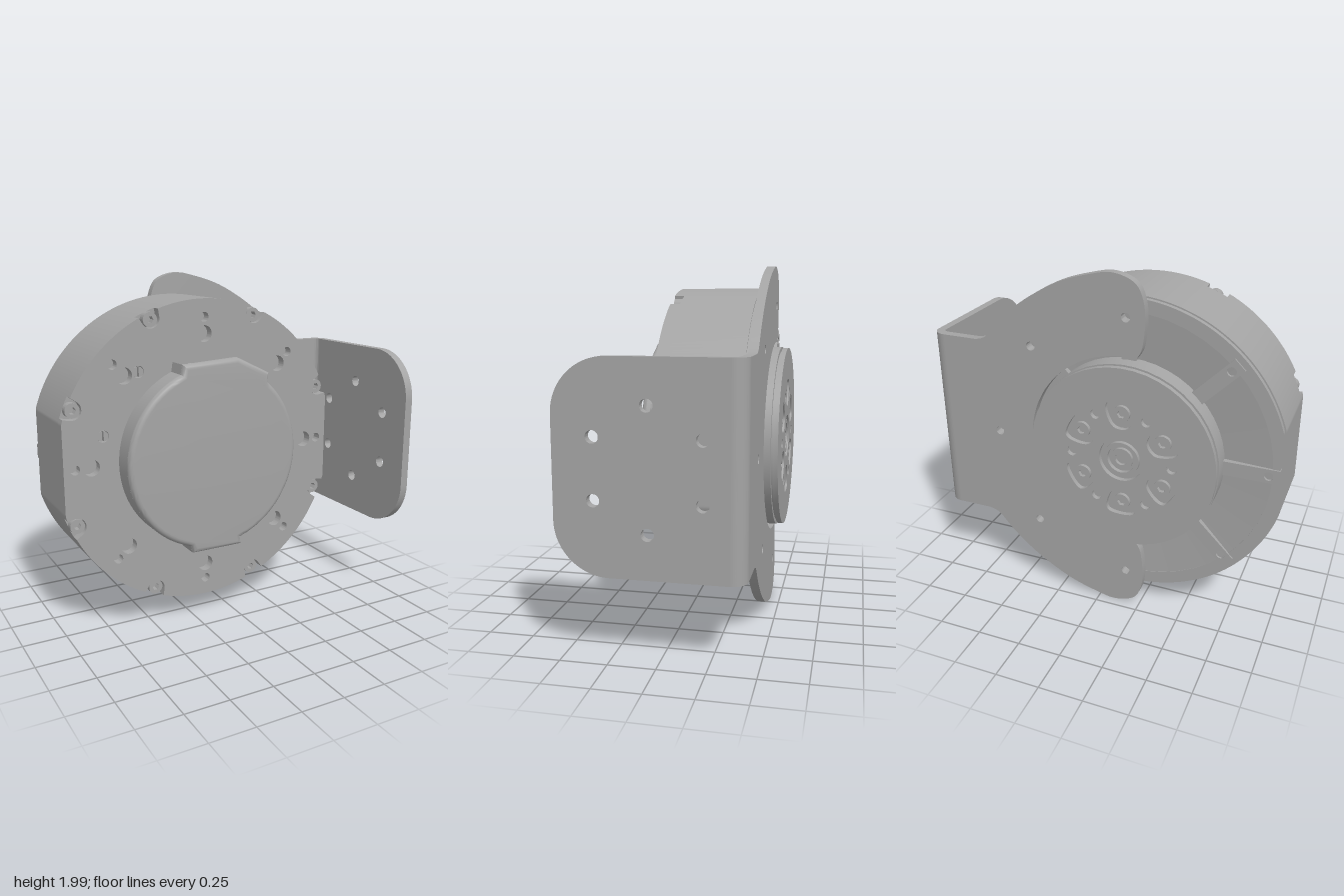
import * as THREE from 'three';
import { toCreasedNormals } from 'three/addons/utils/BufferGeometryUtils.js';

const V = (x, y) => new THREE.Vector2(x, y);
const polar = (r, deg) => V(r * Math.cos(deg * Math.PI / 180), r * Math.sin(deg * Math.PI / 180));
const eighths = [0, 45, 90, 135, 180, 225, 270, 315];
const sixths = [0, 60, 120, 180, 240, 300];

function circle(x, y, r, Type = THREE.Path) {
  const p = new Type();
  p.absarc(x, y, r, 0, Math.PI * 2, false);
  return p;
}
const disc = (r, x = 0, y = 0) => circle(x, y, r, THREE.Shape);
function ring(r, hole, x = 0, y = 0) {
  const s = disc(r, x, y);
  s.holes.push(circle(x, y, hole));
  return s;
}
function arc(r, from, to, n = 48) {
  return Array.from({ length: n + 1 }, (_, i) => polar(r, from + (to - from) * i / n));
}

// Round motor outline with flattened sides and optional screw notches
function bodyOutline(radius, notch = 0) {
  const pts = [];
  for (let i = 0; i < 720; i++) {
    const a = i * Math.PI / 360;
    let r = Math.min(radius, (radius - 0.037) / Math.abs(Math.cos(a)));
    const d = ((i / 2) % 45 - 22.5) * Math.PI / 180;
    const s = 0.838 * Math.sin(d);
    if (Math.abs(s) < notch) r = Math.min(r, 0.838 * Math.cos(d) - Math.sqrt(notch * notch - s * s));
    pts.push(V(r * Math.cos(a), r * Math.sin(a)));
  }
  return new THREE.Shape(pts);
}

export function createModel() {
  const model = new THREE.Group();
  model.name = 'motorOnBracket';
  const grey = new THREE.MeshStandardMaterial({ color: 0xa4a4a4, side: THREE.DoubleSide });
  grey.name = 'metalGrey';

  const motor = new THREE.Group();
  motor.name = 'motor';
  motor.position.set(-0.167, 0.995, 0);
  model.add(motor);

  function add(name, geometry, parent = motor) {
    const m = new THREE.Mesh(geometry, grey);
    m.name = name;
    parent.add(m);
    return m;
  }
  function slab(name, shape, z0, z1, parent = motor) {
    const g = new THREE.ExtrudeGeometry(shape, { depth: z1 - z0, bevelEnabled: false, curveSegments: 24 });
    g.translate(0, 0, z0);
    return add(name, toCreasedNormals(g, 0.6), parent);
  }

  // Housing
  slab('housing', bodyOutline(0.87), -0.365, 0.05);
  const face = bodyOutline(0.87, 0.053);
  const slotScrews = [V(-0.398, 0.495), V(-0.608, 0.165)];
  for (const a of eighths) {
    const big = polar(0.678, a), small = polar(0.77, a);
    face.holes.push(circle(big.x, big.y, 0.046), circle(small.x, small.y, 0.027));
  }
  for (const p of slotScrews) face.holes.push(circle(p.x, p.y, 0.033));
  slab('frontFace', face, 0.05, 0.105);

  // Hex socket screws around the front edge
  const hexScrew = (name, p, r, z0, z1) => {
    const s = disc(r, p.x, p.y);
    s.holes.push(new THREE.Path(sixths.map(a => polar(r * 0.5, a).add(p))));
    slab(name, s, z0, z1);
  };
  for (const a of eighths) hexScrew('rimScrew', polar(0.83, a + 22.5), 0.041, 0.05, 0.092);

  // Slotted screws, each made of two half discs
  for (const p of slotScrews) {
    for (const side of [0, Math.PI]) {
      const half = new THREE.Shape();
      half.absarc(p.x + (side ? -0.005 : 0.005), p.y, 0.027, side - Math.PI / 2, side + Math.PI / 2, false);
      slab('slottedScrew', half, 0.05, 0.101);
    }
  }

  // Back rim, dished back and ribs
  const rim = bodyOutline(0.862);
  rim.holes.push(circle(0, 0, 0.79));
  slab('backRim', rim, -0.393, -0.36);
  const dish = new THREE.LatheGeometry([V(0.79, -0.39), V(0.5, -0.37)], 96);
  dish.rotateX(Math.PI / 2);
  add('backDish', dish);
  for (const a of eighths) {
    const rib = new THREE.Shape([V(0.5, -0.04), V(0.828, -0.04), V(0.828, 0.04), V(0.5, 0.04)]);
    rib.holes.push(circle(0.77, 0, 0.025));
    slab('backRib', rib, -0.402, -0.36).rotation.z = a * Math.PI / 180;
  }

  // Front cover: two curved side walls under a rounded lid, open at the top and bottom
  const R = 0.523;
  const rightSide = [V(0.167, -0.541), ...arc(R, -72, 50), V(0.342, 0.455)];
  const leftSide = [V(-0.195, 0.535), ...arc(R, 113, 252), V(-0.145, -0.541)];
  for (const edge of [rightSide, leftSide]) {
    const inner = edge.map(p => p.clone().multiplyScalar(0.94)).reverse();
    slab('coverWall', new THREE.Shape([...edge, ...inner]), 0.1, 0.222);
  }
  const lid = new THREE.ExtrudeGeometry(
    new THREE.Shape([...rightSide, V(0.137, 0.555), ...leftSide]),
    { depth: 0.002, bevelThickness: 0.03, bevelSize: 0.03, bevelOffset: -0.03, bevelSegments: 5 });
  lid.translate(0, 0, 0.219);
  add('coverLid', toCreasedNormals(lid, 0.7));
  slab('coverPin', disc(0.027, 0.417, 0.27), 0.105, 0.235);

  // Cable connectors in the top opening
  const block = (name, x, w, z, d, y = 0.49, h = 0.06) =>
    add(name, new THREE.BoxGeometry(w, h, d)).position.set(x, y, z);
  block('powerSocket', -0.06, 0.18, 0.163, 0.09);
  block('signalSocket', 0.065, 0.05, 0.163, 0.075);
  block('circuitBoard', 0.2, 0.23, 0.165, 0.04, 0.43, 0.06);
  for (const x of [-0.105, -0.015]) {
    const pin = add('socketPin', new THREE.TorusGeometry(0.024, 0.006, 8, 24));
    pin.rotation.x = Math.PI / 2;
    pin.position.set(x, 0.522, 0.163);
  }
  for (const z of [0.145, 0.18]) block('signalPin', 0.065, 0.02, z, 0.015, 0.523, 0.01);

  // Output rotor at the back
  slab('rotorBase', disc(0.53), -0.478, -0.36);
  slab('rotorNeck', disc(0.505), -0.49, -0.47);
  const plate = ring(0.525, 0.125);
  const pocketPoints = [[-0.075, -0.04], [-0.075, 0.04], [0.02, 0.085], [0.06, 0.075],
    [0.075, 0], [0.06, -0.075], [0.02, -0.085]];
  for (const a of sixths) {
    const rad = (a + 30) * Math.PI / 180;
    const curve = new THREE.CatmullRomCurve3(pocketPoints.map(([u, v]) => {
      const p = V(0.265 + u, v).rotateAround(V(0, 0), rad);
      return new THREE.Vector3(p.x, p.y, 0);
    }), true);
    plate.holes.push(new THREE.Path(curve.getPoints(36).slice(0, -1).map(p => V(p.x, p.y))));
    const h = polar(0.285, a);
    plate.holes.push(circle(h.x, h.y, 0.028));
    hexScrew('rotorScrew', polar(0.265, a + 30), 0.046, -0.51, -0.488);
  }
  slab('rotorPlate', plate, -0.517, -0.488);
  slab('hubOuterRing', ring(0.1, 0.078), -0.513, -0.488);
  slab('hubInnerRing', ring(0.062, 0.035), -0.508, -0.488);

  // Bracket: crescent plate behind the motor
  const bracket = new THREE.Group();
  bracket.name = 'bracket';
  model.add(bracket);
  const upper = new THREE.SplineCurve([V(-0.06, 0.557), V(-0.09, 0.62), V(-0.105, 0.76), V(-0.092, 0.875),
    V(-0.045, 0.955), V(0.065, 0.992), V(0.18, 0.975), V(0.365, 0.915), V(0.565, 0.8), V(0.715, 0.675),
    V(0.8, 0.58), V(0.835, 0.553), V(0.88, 0.54)]).getPoints(72);
  const lower = upper.map(p => V(p.x, -p.y)).reverse();
  const crescent = new THREE.Shape([...upper, V(1.087, 0.54), V(1.087, -0.54), ...lower,
    ...arc(0.56, -96, 96, 72).slice(1, -1)]);
  for (const a of [-90, -45, 0, 45, 90]) {
    const h = polar(0.77, a);
    crescent.holes.push(circle(h.x, h.y, 0.025));
  }
  slab('bracketPlate', crescent, -0.445, -0.397, bracket).position.copy(motor.position);

  // Rounded bend between plate and flange
  const bend = new THREE.Shape();
  bend.absarc(0.92, 0.365, 0.08, 0, Math.PI / 2, false);
  bend.absarc(0.92, 0.365, 0.032, Math.PI / 2, 0, true);
  const bendMesh = slab('bracketBend', bend, 0, 1.08, bracket);
  bendMesh.rotation.x = -Math.PI / 2;
  bendMesh.position.y = 0.455;

  // Side flange with rounded front corners and six holes
  const flange = new THREE.Shape();
  flange.moveTo(0.365, 0.455);
  flange.lineTo(0.365, 1.535);
  flange.lineTo(-0.23, 1.535);
  flange.absarc(-0.23, 1.255, 0.28, Math.PI / 2, Math.PI, false);
  flange.absarc(-0.23, 0.735, 0.28, Math.PI, Math.PI * 1.5, false);
  for (const a of sixths) {
    const h = polar(0.312, a + 30);
    flange.holes.push(circle(h.x - 0.035, h.y + 0.995, 0.033));
  }
  const flangeMesh = slab('bracketFlange', flange, 0, 0.048, bracket);
  flangeMesh.rotation.y = Math.PI / 2;
  flangeMesh.position.x = 0.952;

  return model;
}
